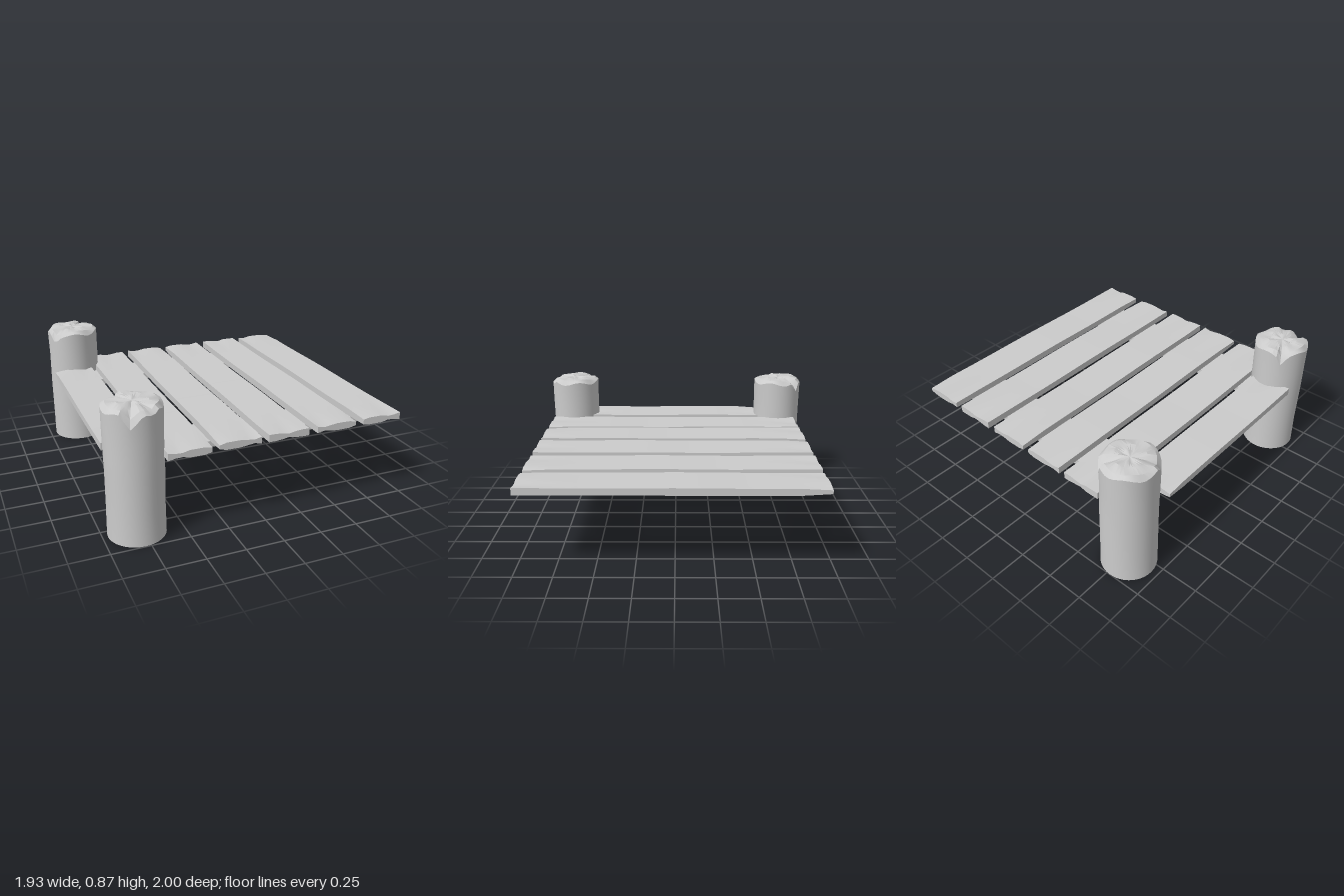
import * as THREE from 'three';
import { toCreasedNormals } from 'three/addons/utils/BufferGeometryUtils.js';

const material = new THREE.MeshStandardMaterial({ color: 0xcccccc });

// Move every vertex of a geometry by a rule
function reshape(geometry, rule) {
  const p = geometry.attributes.position;
  const v = new THREE.Vector3();
  for (let i = 0; i < p.count; i++) {
    rule(v.fromBufferAttribute(p, i));
    p.setXYZ(i, v.x, v.y, v.z);
  }
  return toCreasedNormals(geometry, 0.45);
}

// Board with gently chipped upper and lower edges at its ends (length along z)
function board(name, width, thickness, length, seed) {
  const geometry = new THREE.BoxGeometry(width, thickness, length, 6, 1, 10);
  const mesh = new THREE.Mesh(reshape(geometry, (v) => {
    const end = Math.abs(v.z) > length / 2 - 0.001;
    const wave = Math.sin(v.x * 27 + seed * 2.3 + Math.sign(v.z));
    if (end) v.y -= Math.sign(v.y) * 0.012 * Math.max(0, wave);
    else if (v.y > 0) v.y -= 0.002 * (1 + Math.sin(v.z * 6 + seed));
  }), material);
  mesh.name = name;
  return mesh;
}

// Round post with a rough hewn top; notches are [angle, half width, depth]
function post(name, x, z, notches, seed) {
  const R = 0.182;
  const profile = [[0, 0], [R, 0], [R, 0.2], [R, 0.42], [R, 0.54], [R, 0.66], [R, 0.835],
    [0.155, 0.86], [0.1, 0.866], [0.05, 0.864], [0, 0.862]].map(([r, y]) => new THREE.Vector2(r, y));
  const geometry = new THREE.LatheGeometry(profile, 36);
  const mesh = new THREE.Mesh(reshape(geometry, (v) => {
    const r = Math.hypot(v.x, v.z);
    const a = Math.atan2(v.x, v.z);
    if (v.y > 0.8 && r > 0.01) {
      // uneven cut surface and splits running in from the rim
      v.y += (r > 0.17 ? 0.012 : 0.006) * Math.sin(a * 5 + seed + r * 40);
      for (const [angle, half, depth] of notches) {
        const d = Math.abs(Math.atan2(Math.sin(a - angle), Math.cos(a - angle)));
        v.y -= depth * Math.max(0, 1 - d / half) * Math.min(1, (r / R) ** 2);
      }
    } else if (v.y > 0.1) {
      // slight swelling of the trunk
      const k = 1 - 0.012 * (1 + Math.sin(a * 3 + v.y * 8 + seed));
      v.x *= k;
      v.z *= k;
    }
  }), material);
  mesh.name = name;
  mesh.position.set(x, 0, z);
  return mesh;
}

export function createModel() {
  const group = new THREE.Group();
  group.name = 'dock';

  // Deck planks: [centre x, z start, z end, centre y]; the outer one fits between the posts
  const planks = [
    [-0.815, -0.66, 0.70, 0.548],
    [-0.492, -0.94, 0.975, 0.543],
    [-0.17, -0.94, 0.975, 0.549],
    [0.155, -0.94, 0.975, 0.549],
    [0.492, -0.94, 0.975, 0.549],
    [0.825, -0.94, 0.975, 0.549],
  ];
  planks.forEach(([x, z0, z1, y], i) => {
    const plank = board(`plank${i + 1}`, 0.276, 0.048, z1 - z0, i);
    plank.position.set(x, y, (z0 + z1) / 2);
    group.add(plank);
  });

  // Cross beams beneath the deck, running into the posts
  [['backBeam', -0.638], ['frontBeam', 0.68]].forEach(([name, z], i) => {
    const beam = board(name, 0.277, 0.042, 1.6, i + 7);
    beam.rotation.y = Math.PI / 2;
    beam.position.set(0.05, 0.502, z);
    group.add(beam);
  });

  // Posts along the right side
  group.add(post('backPost', -0.775, -0.818, [[2.4, 0.25, 0.09], [-1.0, 0.35, 0.06]], 1));
  group.add(post('frontPost', -0.785, 0.814, [[-0.35, 0.38, 0.08], [0.45, 0.25, 0.03], [-2.6, 0.22, 0.07]], 4));

  return group;
}
